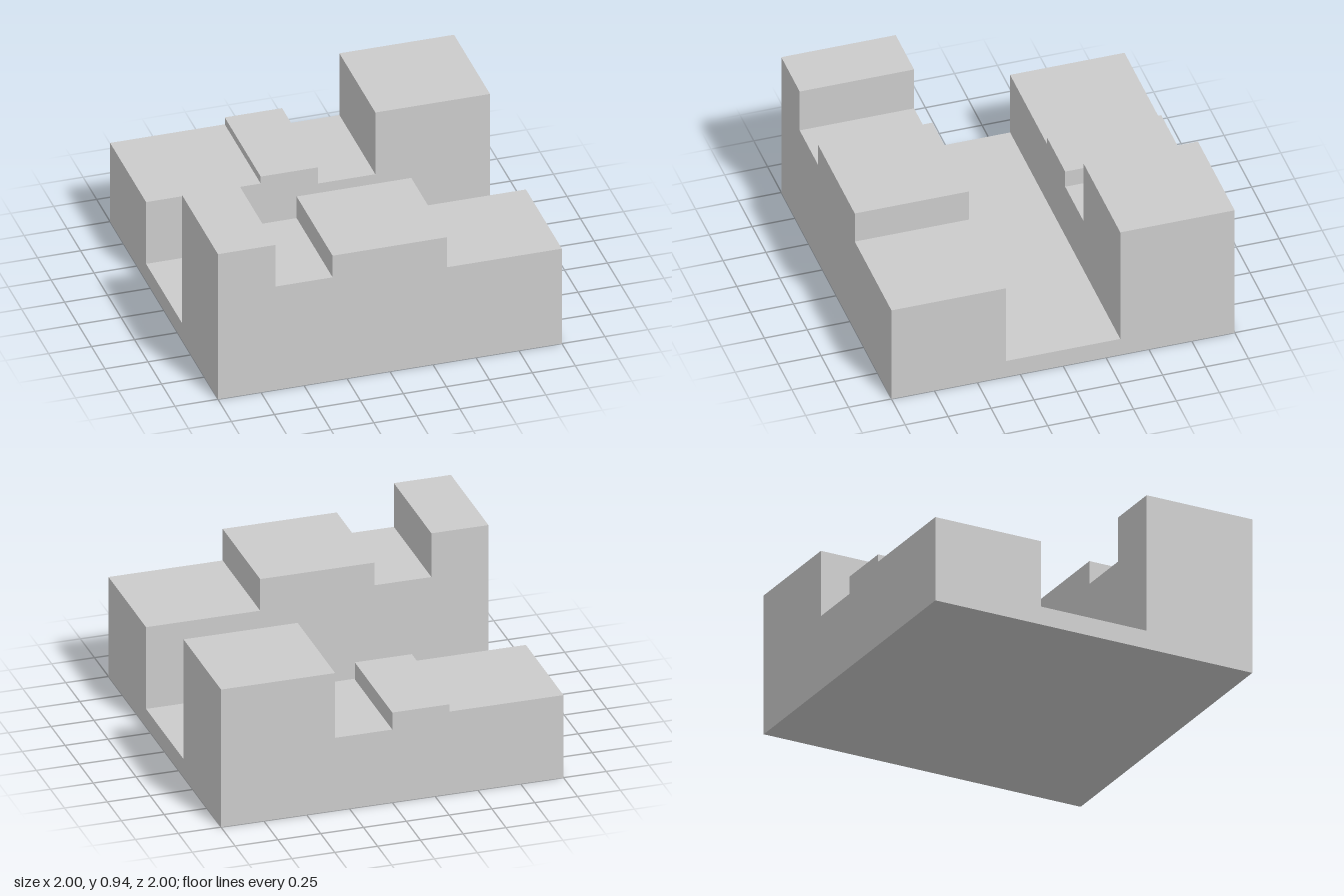
import * as THREE from 'three';

const T = 1 / 3;

// Stepped wall: [right end x, height] for each step from x = -1
function steppedWall(name, steps, z, material) {
  const shape = new THREE.Shape();
  shape.moveTo(-1, 0);
  let x = -1;
  for (const [end, height] of steps) {
    shape.lineTo(x, height);
    shape.lineTo(end, height);
    x = end;
  }
  shape.lineTo(1, 0);
  const geometry = new THREE.ExtrudeGeometry(shape, { depth: 2 * T, bevelEnabled: false });
  const mesh = new THREE.Mesh(geometry, material);
  mesh.name = name;
  mesh.position.z = z;
  return mesh;
}

export function createModel() {
  const group = new THREE.Group();
  group.name = 'steppedBlock';
  const material = new THREE.MeshStandardMaterial({ color: 0xcccccc, flatShading: true });

  // Front row of blocks
  group.add(steppedWall('frontWall', [[-2 * T, 0.94], [-T, 0.67], [T, 0.81], [1, 0.615]], T, material));

  // Back row of blocks
  group.add(steppedWall('backWall', [[-T, 0.51], [0, 0.555], [T, 0.45], [1, 0.85]], -1, material));

  // Low channel floor between the rows
  const floor = new THREE.Mesh(new THREE.BoxGeometry(2, 0.11, 2 * T), material);
  floor.name = 'channelFloor';
  floor.position.y = 0.055;
  group.add(floor);

  return group;
}
